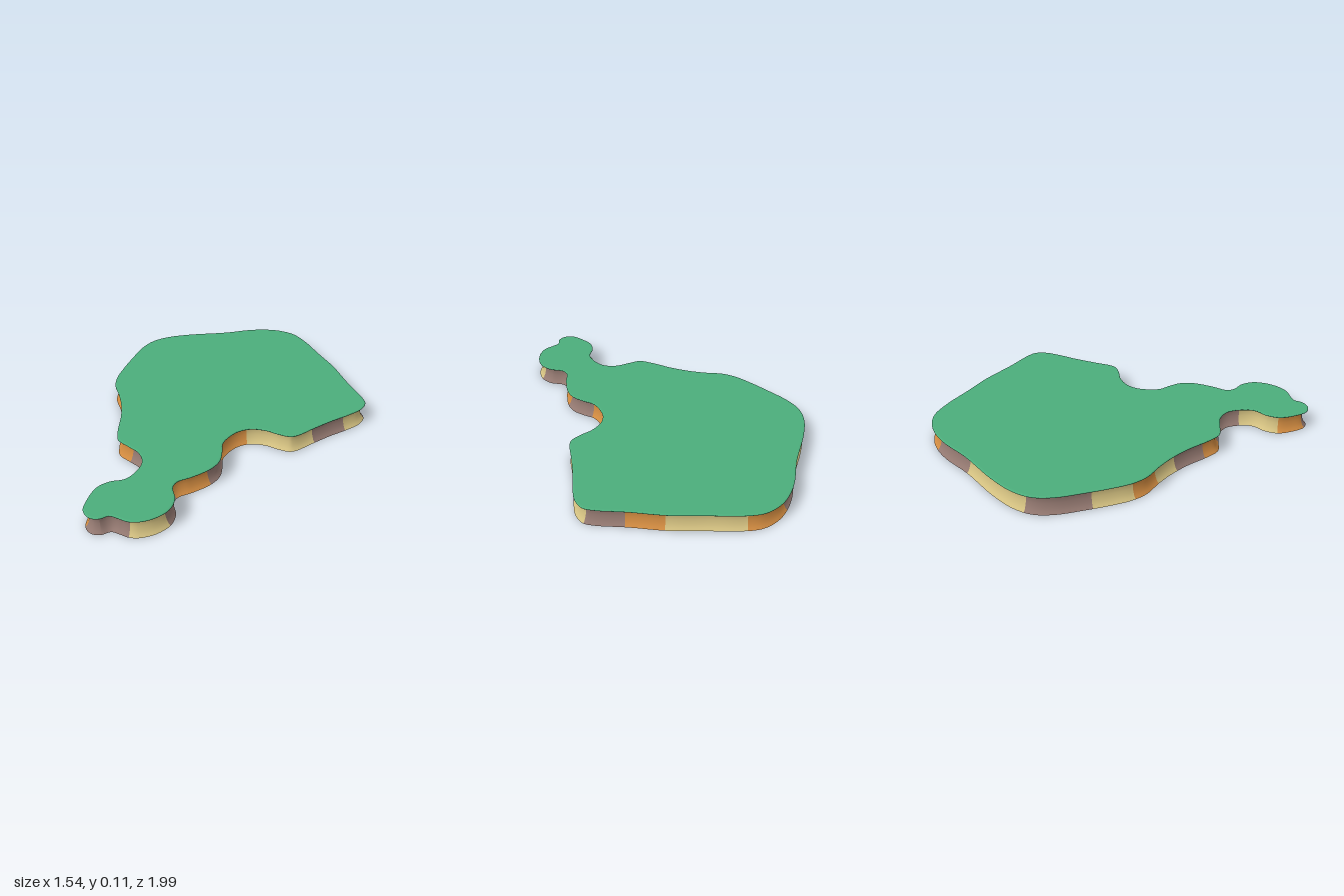
import * as THREE from 'three';

// Coastline control points (x, z), clockwise seen from above
const COAST = [
  0.13, -1, 0.23, -0.99, 0.325, -0.945, 0.41, -0.84, 0.49, -0.7, 0.585, -0.54,
  0.67, -0.35, 0.75, -0.19, 0.765, -0.13, 0.735, -0.065, 0.66, 0, 0.56, 0.07,
  0.46, 0.15, 0.37, 0.225, 0.33, 0.24, 0.265, 0.225, 0.19, 0.195, 0.1, 0.19,
  0.035, 0.22, -0.015, 0.28, -0.04, 0.34, -0.035, 0.41, -0.04, 0.49, -0.08, 0.56,
  -0.17, 0.635, -0.24, 0.68, -0.255, 0.725, -0.23, 0.81, -0.245, 0.89, -0.305, 0.955,
  -0.385, 0.99, -0.435, 0.99, -0.49, 0.97, -0.53, 0.96, -0.575, 0.985, -0.625, 0.98,
  -0.665, 0.935, -0.665, 0.85, -0.64, 0.76, -0.585, 0.71, -0.515, 0.685, -0.475, 0.635,
  -0.45, 0.54, -0.485, 0.46, -0.55, 0.41, -0.62, 0.355, -0.64, 0.28, -0.655, 0.125,
  -0.68, 0.01, -0.715, -0.09, -0.76, -0.19, -0.77, -0.28, -0.755, -0.39, -0.725, -0.525,
  -0.685, -0.67, -0.63, -0.765, -0.54, -0.83, -0.395, -0.88, -0.155, -0.93, 0.02, -0.985,
];
const COUNT = COAST.length / 2;

// Rock bands around the coast: colour and the control point number where each ends
const COLORS = { orange: 0xd08a40, sand: 0xd3c080, grey: 0x937870 };
const BANDS = [
  ['orange', 2.6], ['sand', 5.1], ['orange', 6.1], ['grey', 7.9], ['sand', 10.1], ['grey', 11.9],
  ['sand', 17.2], ['orange', 20.2], ['grey', 23], ['orange', 25.2], ['grey', 28], ['sand', 31],
  ['grey', 36], ['orange', 38], ['sand', 41.2], ['grey', 44], ['orange', 46.2], ['grey', 47.6],
  ['sand', 49], ['orange', 50.8], ['sand', 52.7], ['grey', 55.4], ['sand', 58], ['grey', COUNT],
];

// Cliff cross-section: inset from the coastline, height
const PROFILE = [[0, 0], [0.012, 0.012], [0.021, 0.03], [0.028, 0.052], [0.031, 0.078], [0.026, 0.104]];

const points = [];
for (let i = 0; i < COUNT; i++) points.push(new THREE.Vector3(COAST[2 * i], 0, COAST[2 * i + 1]));
const coast = new THREE.CatmullRomCurve3(points, true, 'centripetal');

// Open strip of cliff between two places on the coast
function cliffGeometry(from, to) {
  const steps = Math.ceil((to - from) * 6), rows = PROFILE.length;
  const position = [], index = [];
  for (let i = 0; i <= steps; i++) {
    const t = ((from + (to - from) * i / steps) / COUNT) % 1;
    const p = coast.getPoint(t), d = coast.getTangent(t);
    for (const [inset, y] of PROFILE) position.push(p.x - d.z * inset, y, p.z + d.x * inset);
  }
  for (let i = 0; i < steps; i++) {
    for (let j = 0; j < rows - 1; j++) {
      const a = i * rows + j, b = a + rows;
      index.push(a, a + 1, b, b, a + 1, b + 1);
    }
  }
  const geometry = new THREE.BufferGeometry();
  geometry.setAttribute('position', new THREE.Float32BufferAttribute(position, 3));
  geometry.setIndex(index);
  geometry.computeVertexNormals();
  return geometry;
}

export function createModel() {
  const model = new THREE.Group();
  model.name = 'island';

  // Thin grass slab with a softened rim
  const outline = [];
  for (let i = 0; i < COUNT * 6; i++) {
    const p = coast.getPoint(i / (COUNT * 6));
    outline.push(new THREE.Vector2(p.x, p.z));
  }
  const slab = new THREE.ExtrudeGeometry(new THREE.Shape(outline), {
    depth: 0.003, bevelThickness: 0.004, bevelSize: 0.01, bevelOffset: -0.01, bevelSegments: 3,
  });
  slab.rotateX(Math.PI / 2).translate(0, 0.108, 0);
  const grass = new THREE.Mesh(slab, new THREE.MeshStandardMaterial({ color: 0x4cae7c }));
  grass.name = 'grassTop';
  model.add(grass);

  // Hollow ring of coloured cliff bands, open underneath
  const cliffs = new THREE.Group();
  cliffs.name = 'cliffs';
  const materials = {};
  for (const key in COLORS) {
    materials[key] = new THREE.MeshStandardMaterial({ color: COLORS[key], side: THREE.DoubleSide });
  }
  let start = 0;
  for (const [color, end] of BANDS) {
    const band = new THREE.Mesh(cliffGeometry(start, end), materials[color]);
    band.name = color + 'Cliff';
    cliffs.add(band);
    start = end;
  }
  model.add(cliffs);
  return model;
}
